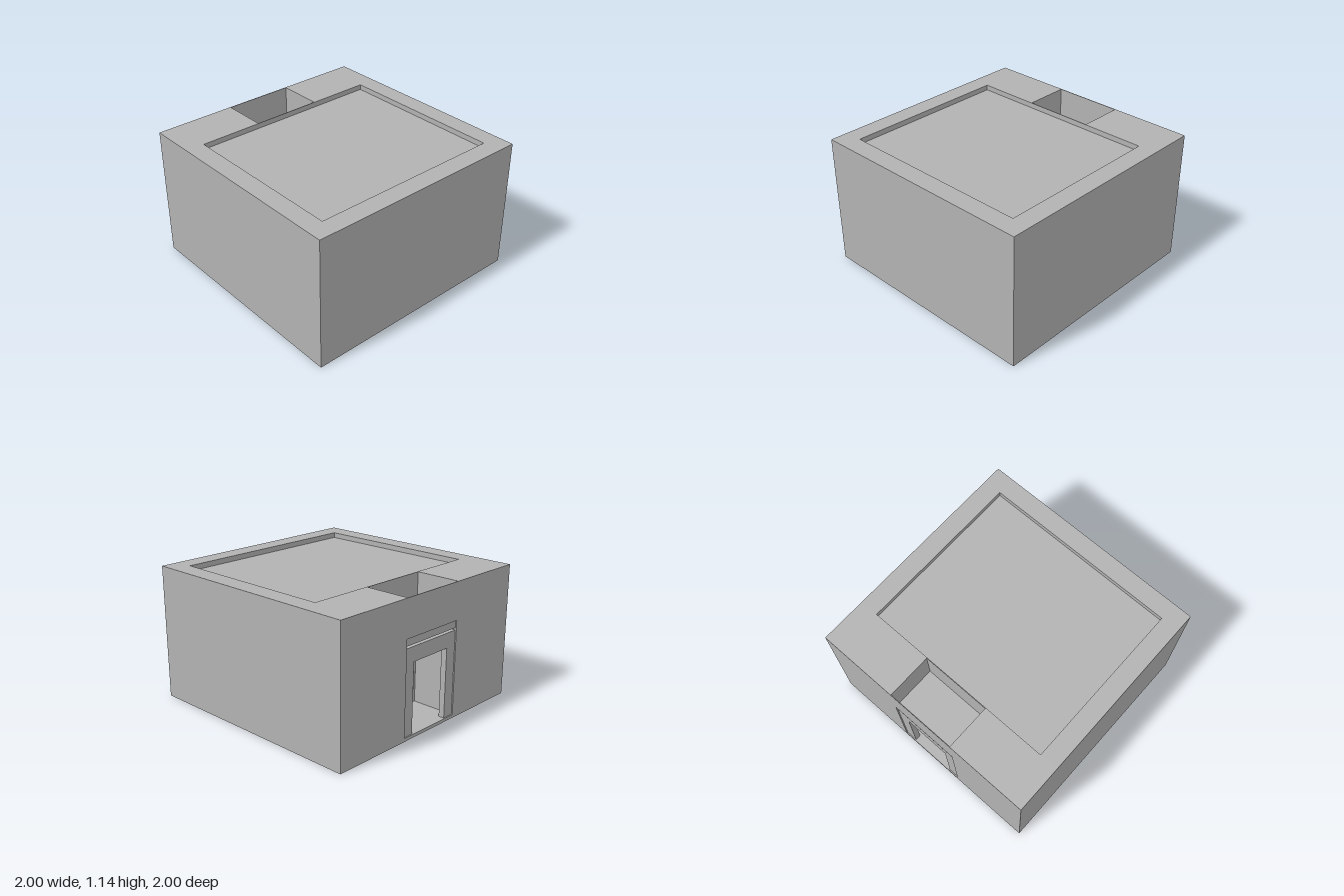
import * as THREE from 'three';

export function createModel() {
  const group = new THREE.Group();
  const stone = new THREE.MeshStandardMaterial({ color: 0xb2b2b2 });
  stone.name = 'grey stone';

  // Box given by its lower and upper corners
  function block(name, x0, x1, y0, y1, z0, z1) {
    const mesh = new THREE.Mesh(new THREE.BoxGeometry(x1 - x0, y1 - y0, z1 - z0), stone);
    mesh.name = name;
    mesh.position.set((x0 + x1) / 2, (y0 + y1) / 2, (z0 + z1) / 2);
    group.add(mesh);
    return mesh;
  }

  const H = 1.14, base = 0.02, skin = 0.006;

  // Floor and the thin skirt around its recessed underside
  block('floor', -1, 1, base, base + 0.008, -1, 1);
  block('frontSkirt', -1, 1, 0, base, 1 - skin, 1);
  block('backSkirt', -1, 1, 0, base, -1, -1 + skin);

  // Thick room walls, leaving an entrance passage at the back
  block('frontWall', -1, 1, base, H, 0.84, 1);
  for (const s of [-1, 1]) {
    const side = s < 0 ? 'right' : 'left';
    const span = (a, b) => (s > 0 ? [a, b] : [-b, -a]);
    block(side + 'Skirt', ...span(1 - skin, 1), 0, base, -1 + skin, 1 - skin);
    block(side + 'Wall', ...span(0.84, 1), base, H, -0.6, 0.84);
    block(side + 'BackWall', ...span(0.3, 1), base, H, -1, -0.6);
    block(side + 'DoorPost', ...span(0.2, 0.3), base, 0.745, -0.99, -0.94);
    block(side + 'InnerPost', ...span(0.28, 0.3), base, 0.825, -0.61, -0.6);
  }

  // Sunken roof panel over the room
  block('roofPanel', -0.84, 0.84, 1.085, 1.095, -0.6, 0.84);

  // Open well above the entrance passage
  block('passageCeiling', -0.3, 0.3, 0.825, 0.835, -1, -0.6);
  block('wellOuterWall', -0.3, 0.3, 0.825, H, -1, -1 + skin);
  block('wellInnerWall', -0.3, 0.3, 0.825, H, -0.6 - skin, -0.6);

  // Door surround with a narrow slit above the lintel
  block('doorHeader', -0.3, 0.3, 0.763, 0.825, -0.99, -0.94);
  block('doorLintel', -0.2, 0.2, 0.62, 0.745, -0.99, -0.94);

  // Loose stones on the floor, slightly sunk through it: x, z, radius
  const stones = [
    [0.73, 0.25, 0.05], [0.5, 0.74, 0.05], [0.3, -0.54, 0.05], [-0.62, 0.7, 0.05],
    [0.69, -0.48, 0.025], [-0.08, 0.74, 0.025], [-0.77, 0.68, 0.025], [-0.75, -0.11, 0.025],
  ];
  stones.forEach(([x, z, r], i) => {
    const mesh = new THREE.Mesh(new THREE.IcosahedronGeometry(r, 0), stone);
    mesh.name = 'floorStone' + (i + 1);
    mesh.scale.y = 0.6;
    mesh.rotation.y = i * 1.3;
    mesh.position.set(x, base + r * 0.45, z);
    group.add(mesh);
  });

  return group;
}
